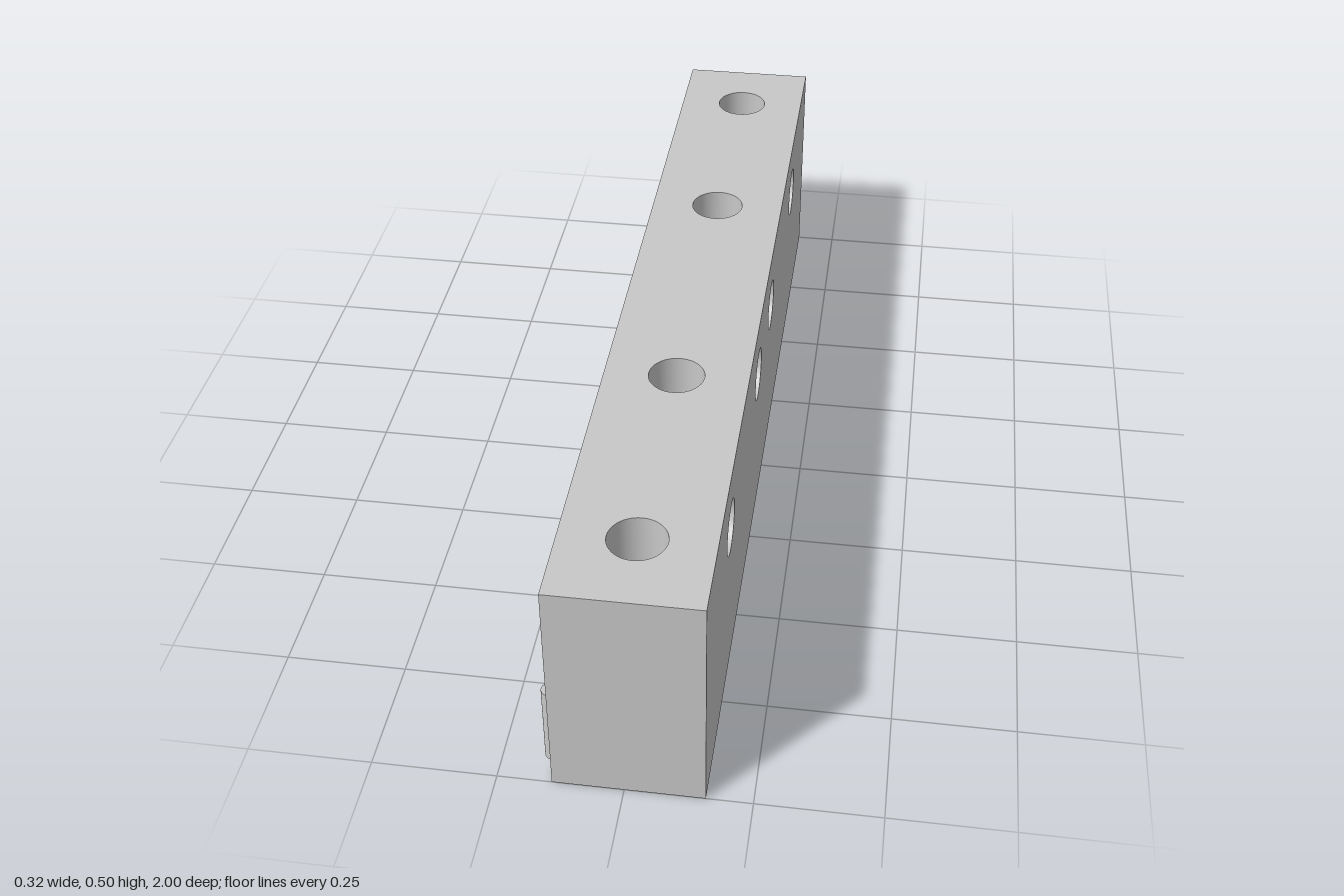
import * as THREE from 'three';
import { mergeGeometries } from 'three/addons/utils/BufferGeometryUtils.js';

const W = 0.3, H = 0.5, L = 2;           // block size along x, y, z
const CX = 0.0083;                       // block centre in x
const BORE = 0.058;                      // radius of all holes
const SIDE_HOLES = [-0.633, -0.133, 0.133, 0.633];
const TOP_HOLES = [-0.833, -0.333, 0.333, 0.833];
const SIDE_HOLE_Y = 0.368 - H / 2;       // measured from the block centre

// Long flat face, pierced by a row of round holes, facing +z at the given offset
function piercedFace(height, offset, holes, holeY) {
  const a = L / 2, b = height / 2;
  const shape = new THREE.Shape([[-a, -b], [a, -b], [a, b], [-a, b]].map(p => new THREE.Vector2(...p)));
  for (const x of holes) {
    shape.holes.push(new THREE.Path().absarc(x, holeY, BORE, 0, Math.PI * 2, true));
  }
  return new THREE.ShapeGeometry(shape, 24).translate(0, 0, offset);
}

// Hole wall along y, facing inwards
function boreWall(length) {
  return new THREE.LatheGeometry([
    new THREE.Vector2(BORE, length / 2), new THREE.Vector2(BORE, -length / 2),
  ], 48);
}

export function createModel() {
  const model = new THREE.Group();
  const grey = new THREE.MeshStandardMaterial({ color: 0xc8c8c8 });
  grey.name = 'grey';
  const Q = Math.PI / 2;

  const add = (name, geometry, x, y, z) => {
    const mesh = new THREE.Mesh(geometry, grey);
    mesh.name = name;
    mesh.position.set(x, y, z);
    model.add(mesh);
  };

  // Drilled block: four pierced long faces and two plain ends
  add('block', mergeGeometries([
    piercedFace(H, W / 2, SIDE_HOLES, SIDE_HOLE_Y).rotateY(Q),
    piercedFace(H, W / 2, SIDE_HOLES, SIDE_HOLE_Y).rotateY(-Q),
    piercedFace(W, H / 2, TOP_HOLES, 0).rotateY(Q).rotateZ(Q),
    piercedFace(W, H / 2, TOP_HOLES, 0).rotateY(Q).rotateZ(-Q),
    new THREE.PlaneGeometry(W, H).translate(0, 0, L / 2),
    new THREE.PlaneGeometry(W, H).translate(0, 0, L / 2).rotateY(Math.PI),
  ]), CX, H / 2, 0);

  // Hole walls
  for (const z of SIDE_HOLES) add('sideBore', boreWall(W).rotateZ(Q), CX, H / 2 + SIDE_HOLE_Y, z);
  for (const z of TOP_HOLES) add('verticalBore', boreWall(H), CX, H / 2, z);

  // Row of half-round grip ribs on the right side
  const count = 30, ribHeight = 0.179, ribRadius = 0.0167;
  const rib = new THREE.CylinderGeometry(ribRadius, ribRadius, ribHeight, 24, 1, false, Math.PI, Math.PI);
  for (let i = 0; i < count; i++) {
    add('gripRib', rib, CX - W / 2, 0.0445 + ribHeight / 2, -L / 2 + (i + 0.5) * L / count);
  }
  return model;
}
